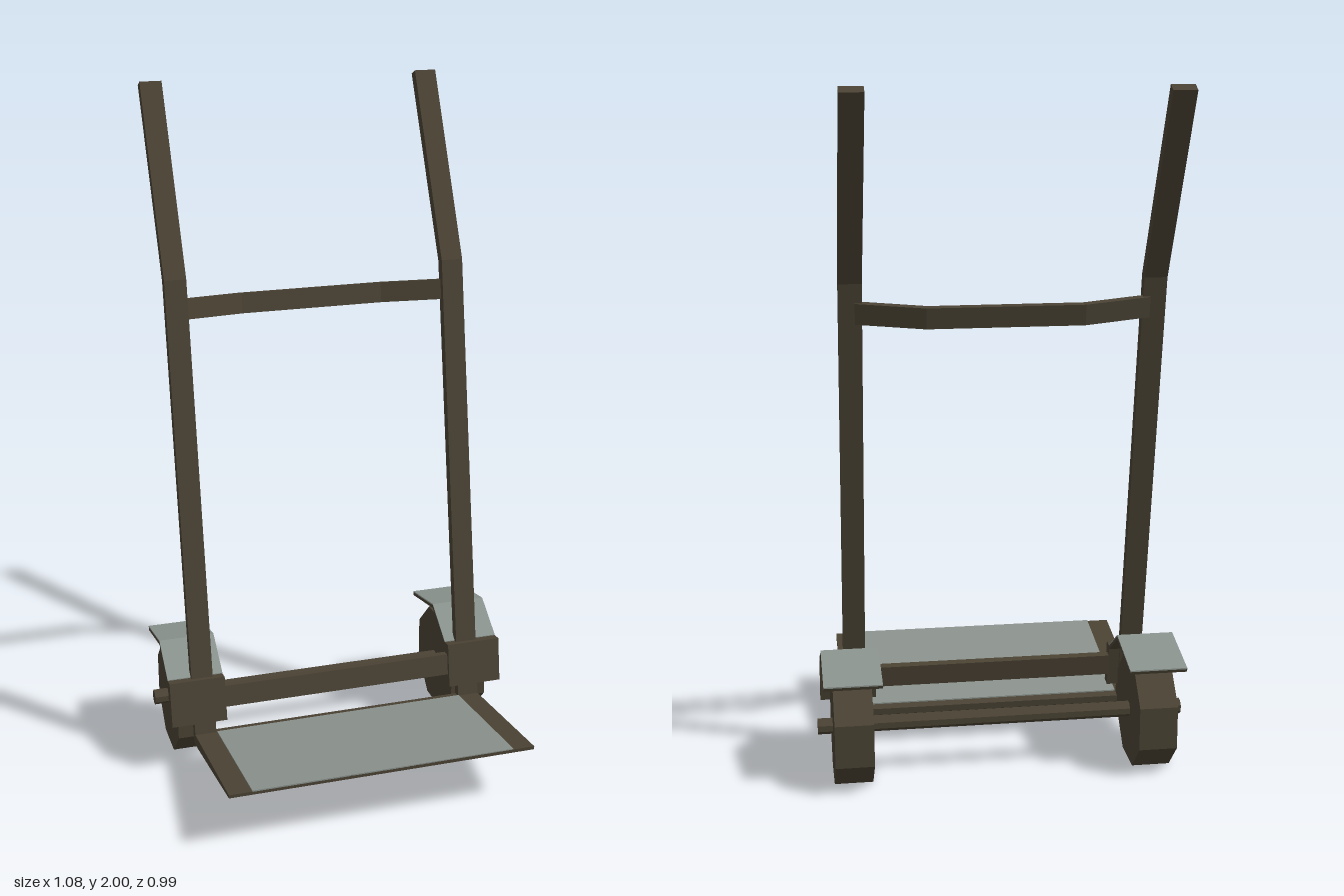
import * as THREE from 'three';

export function createModel() {
  const model = new THREE.Group();
  model.name = 'handTruck';
  const brown = new THREE.MeshStandardMaterial({ name: 'darkBrownSteel', color: 0x4b4334 });
  const grey = new THREE.MeshStandardMaterial({ name: 'greySheet', color: 0x8b938e });

  function add(name, geometry, material) {
    const mesh = new THREE.Mesh(geometry, material);
    mesh.name = name;
    model.add(mesh);
    return mesh;
  }

  // Side profile of [z, y] points, extruded across from x0 to x1
  function sideExtrude(points, x0, x1) {
    const shape = new THREE.Shape(points.map(([z, y]) => new THREE.Vector2(z, y)));
    const g = new THREE.ExtrudeGeometry(shape, { depth: x1 - x0, bevelEnabled: false });
    return g.rotateY(-Math.PI / 2).translate(x1, 0, 0);
  }

  const rail = [[0.05, 0.092], [-0.194, 1.474], [-0.465, 2.0], [-0.494, 1.986], [-0.224, 1.466], [0.02, 0.1]];
  const bracket = [[0.052, 0.165], [0.03, 0.3], [-0.005, 0.295], [0.02, 0.16]];
  const fender = [[0.0, 0.282], [-0.115, 0.36], [-0.297, 0.322], [-0.3, 0.331], [-0.115, 0.37], [0.0, 0.294]];
  const fenderTop = [[0.0, 0.294], [-0.115, 0.37], [-0.3, 0.331], [-0.3, 0.335], [-0.115, 0.374], [0.0, 0.298]];

  for (const [side, s] of [['left', 1], ['right', -1]]) {
    const across = (points, a, b) => sideExtrude(points, s > 0 ? a : -b, s > 0 ? b : -a);
    add(side + 'Rail', across(rail, 0.39, 0.455), brown);
    add(side + 'Bracket', across(bracket, 0.357, 0.525), brown);
    add(side + 'Fender', across(fender, 0.357, 0.525), brown);
    add(side + 'FenderTopSheet', across(fenderTop, 0.357, 0.525), grey);

    // Eight-sided wheel resting on a flat
    const wheel = new THREE.CylinderGeometry(0.168, 0.168, 0.112, 8).toNonIndexed();
    wheel.rotateY(Math.PI / 8).rotateZ(Math.PI / 2);
    wheel.computeVertexNormals();
    add(side + 'Wheel', wheel, brown).position.set(s * 0.441, 0.156, -0.16);
  }

  // Axle through both wheels
  const axle = new THREE.CylinderGeometry(0.023, 0.023, 1.08, 8).toNonIndexed();
  axle.rotateY(Math.PI / 8).rotateZ(Math.PI / 2);
  axle.computeVertexNormals();
  add('axle', axle, brown).position.set(0, 0.157, -0.163);

  // Wedge-shaped toe plate with a grey sheet inset on top
  add('toePlate', sideExtrude([[0.022, 0.1], [0.04, 0.088], [0.493, 0.177], [0.493, 0.187], [0.045, 0.124], [0.02, 0.12]], -0.455, 0.455), brown);
  add('toePlateSheet', sideExtrude([[0.047, 0.124], [0.493, 0.186], [0.493, 0.19], [0.047, 0.128]], -0.388, 0.39), grey);

  // Lower cross bar between the brackets
  add('lowerCrossBar', sideExtrude([[0.035, 0.2], [0.024, 0.265], [0.0, 0.262], [0.011, 0.197]], -0.36, 0.36), brown);

  // Upper cross bar bowed backwards, leaning with the rails
  const bow = new THREE.Shape();
  [[-0.41, 0.052], [-0.215, 0], [0.215, 0], [0.41, 0.052], [0.41, 0.03], [0.22, -0.02], [-0.22, -0.02], [-0.41, 0.03]]
    .forEach(([x, z], i) => (i ? bow.lineTo(x, -z) : bow.moveTo(x, -z)));
  const bar = new THREE.ExtrudeGeometry(bow, { depth: 0.06, bevelEnabled: false });
  bar.translate(0, 0, -0.03).rotateX(-Math.PI / 2);
  const upperBar = add('upperCrossBar', bar, brown);
  upperBar.position.set(0, 1.376, -0.243);
  upperBar.rotation.x = -0.174;

  return model;
}
